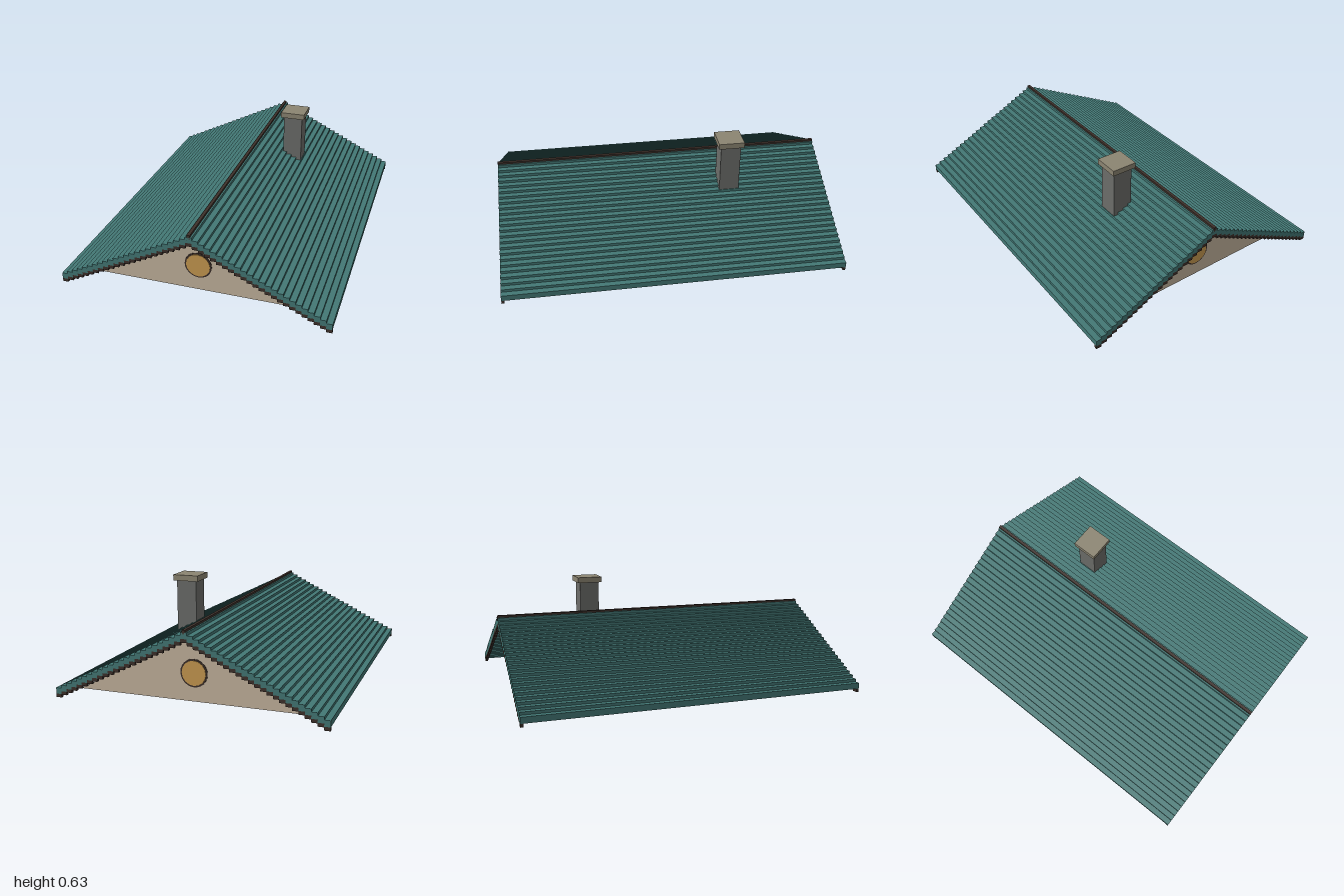
import * as THREE from 'three';

const mat = (name, color) => {
  const m = new THREE.MeshStandardMaterial({ color });
  m.name = name;
  return m;
};

// Extrude a shape by depth, centred on z
function slab(shape, depth) {
  const g = new THREE.ExtrudeGeometry(shape, { depth, bevelEnabled: false });
  g.translate(0, 0, -depth / 2);
  return g;
}

// Stepped inverted-V band, from eave to eave, between two heights at the eave
const HALF = 0.78, STEPS = 23, RUN = 0.0331, RISE = 0.0165;
function steppedBand(bottom, top) {
  const side = (y0) => {
    const pts = [];
    for (let k = 0; k <= STEPS; k++) {
      const outer = HALF - k * RUN;
      pts.push([outer, y0 + k * RISE]);
      if (k < STEPS) pts.push([outer - RUN, y0 + k * RISE]);
    }
    return pts;
  };
  const mirror = (pts) => pts.map(([x, y]) => [-x, y]).reverse();
  const up = side(top), low = side(bottom);
  const outline = [...up, ...mirror(up), ...mirror(low).reverse(), ...low.slice().reverse()];
  return new THREE.Shape(outline.map(([x, y]) => new THREE.Vector2(x, y)));
}

export function createModel() {
  const root = new THREE.Group();
  root.name = 'gableRoof';
  const tile = mat('teal tile', 0x437875);
  const wood = mat('dark wood', 0x3d302a);
  const plaster = mat('plaster', 0xc4b49e);
  const glass = mat('amber glass', 0xc89a50);
  const brick = mat('grey brick', 0x6c6d6a);
  const stone = mat('cap stone', 0x8c8572);

  const add = (name, geometry, material, x = 0, y = 0, z = 0) => {
    const m = new THREE.Mesh(geometry, material);
    m.name = name;
    m.position.set(x, y, z);
    root.add(m);
    return m;
  };

  // Stepped roof shell and ridge beam
  add('roofTiles', slab(steppedBand(0.02, 0.055), 2), tile);
  add('ridgeBeam', new THREE.BoxGeometry(0.018, 0.03, 2), wood, 0, 0.432, 0);

  // Gable walls, verge trim and round windows at both ends
  const triangle = new THREE.Shape([[-0.7, 0.02], [0.7, 0.02], [0, 0.388]].map(([x, y]) => new THREE.Vector2(x, y)));
  const ring = new THREE.Shape().absarc(0, 0, 0.079, 0, Math.PI * 2);
  ring.holes.push(new THREE.Path().absarc(0, 0, 0.068, 0, Math.PI * 2, true));
  const disc = new THREE.CylinderGeometry(0.07, 0.07, 0.042, 16).rotateX(Math.PI / 2);
  for (const [end, s] of [['front', 1], ['back', -1]]) {
    add(end + 'Gable', slab(triangle, 0.03), plaster, 0, 0, s * 0.855);
    add(end + 'VergeTrim', slab(steppedBand(0, 0.02), 0.016), wood, 0, 0, s * 0.992);
    add(end + 'WindowFrame', slab(ring, 0.036), wood, 0, 0.18, s * 0.855);
    add(end + 'WindowPane', disc, glass, 0, 0.18, s * 0.855);
  }

  // Chimney passing through the roof
  add('chimneyStack', new THREE.BoxGeometry(0.12, 0.4, 0.12), brick, 0.22, 0.4, -0.395);
  add('chimneyCap', new THREE.BoxGeometry(0.153, 0.034, 0.153), stone, 0.22, 0.617, -0.395);

  return root;
}
